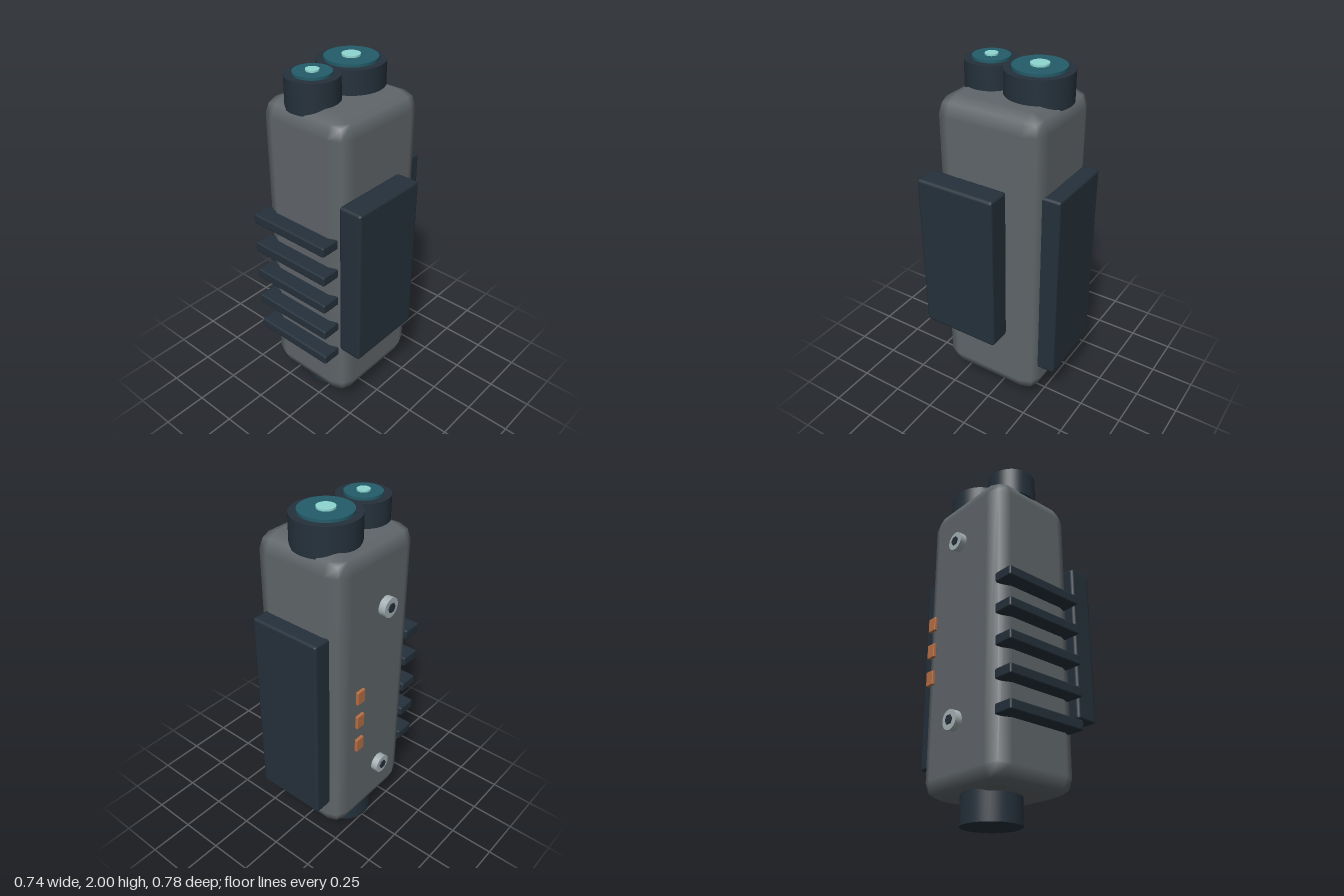
import * as THREE from 'three';
import { RoundedBoxGeometry } from 'three/addons/geometries/RoundedBoxGeometry.js';

const mat = (name, color) => {
  const m = new THREE.MeshStandardMaterial({ color });
  m.name = name;
  return m;
};

export function createModel() {
  const grey = mat('casing grey', 0x60666a);
  const dark = mat('dark slate', 0x25313b);
  const teal = mat('lens teal', 0x235c69);
  const mint = mat('lens mint', 0x8ed5d0);
  const steel = mat('bolt steel', 0xa6b1b5);
  const copper = mat('contact copper', 0xb87045);

  const model = new THREE.Group();
  model.name = 'device';

  const add = (name, geometry, material, x, y, z, parent = model) => {
    const mesh = new THREE.Mesh(geometry, material);
    mesh.name = name;
    mesh.position.set(x, y, z);
    parent.add(mesh);
    return mesh;
  };

  // Box given by its min and max corners, with bevelled edges
  const block = (name, material, a, b, radius) => {
    const s = a.map((v, i) => b[i] - v);
    const c = a.map((v, i) => (b[i] + v) / 2);
    return add(name, new RoundedBoxGeometry(s[0], s[1], s[2], 1, radius), material, ...c);
  };

  // Upright cylinder between two heights
  const post = (name, material, r, y0, y1, x, z, parent) =>
    add(name, new THREE.CylinderGeometry(r, r, y1 - y0, 48), material, x, (y0 + y1) / 2, z, parent);

  // Casing and attached plates
  block('casing', grey, [-0.307, 0.143, -0.305], [0.241, 1.85, 0.305], 0.095);
  block('sidePlate', dark, [0.235, 0.548, -0.128], [0.37, 1.448, 0.322], 0.016);
  block('backPlate', dark, [-0.239, 0.328, -0.393], [0.174, 1.435, -0.275], 0.014);

  // Grip ribs on the front
  for (let i = 0; i < 5; i++) {
    const y = 0.485 + i * 0.1775;
    block('gripRib', dark, [-0.3, y - 0.028, 0.275], [0.194, y + 0.028, 0.391], 0.009);
  }

  // Two lens turrets on top
  const turret = (name, z, r, lensR, coreR, lensTop, coreTop) => {
    const group = new THREE.Group();
    group.name = name;
    model.add(group);
    post('lensBarrel', dark, r, 1.815, 1.975, -0.073, z, group);
    post('lens', teal, lensR, 1.96, lensTop, -0.073, z, group);
    post('lensCore', mint, coreR, 1.97, coreTop, -0.073, z, group);
  };
  turret('largeTurret', -0.12, 0.176, 0.137, 0.048, 1.99, 2);
  turret('smallTurret', 0.156, 0.137, 0.097, 0.034, 1.989, 1.998);

  // Foot
  post('foot', dark, 0.156, 0, 0.2, -0.095, 0.022);

  // Bolts standing just off the right side, each with a dark hexagonal socket
  for (const y of [0.484, 1.514]) {
    const bolt = new THREE.Group();
    bolt.name = 'bolt';
    bolt.position.set(-0.349, y, 0.018);
    bolt.rotation.z = Math.PI / 2;
    model.add(bolt);
    add('boltHead', new THREE.CylinderGeometry(0.053, 0.053, 0.038, 32), steel, 0, 0, 0, bolt);
    add('boltSocket', new THREE.CylinderGeometry(0.026, 0.026, 0.008, 6), dark, 0, 0.021, 0, bolt);
  }

  // Copper contacts
  for (const y of [0.763, 0.92, 1.077]) {
    block('contact', copper, [-0.357, y - 0.039, -0.207], [-0.339, y + 0.039, -0.151], 0.003);
  }

  return model;
}
